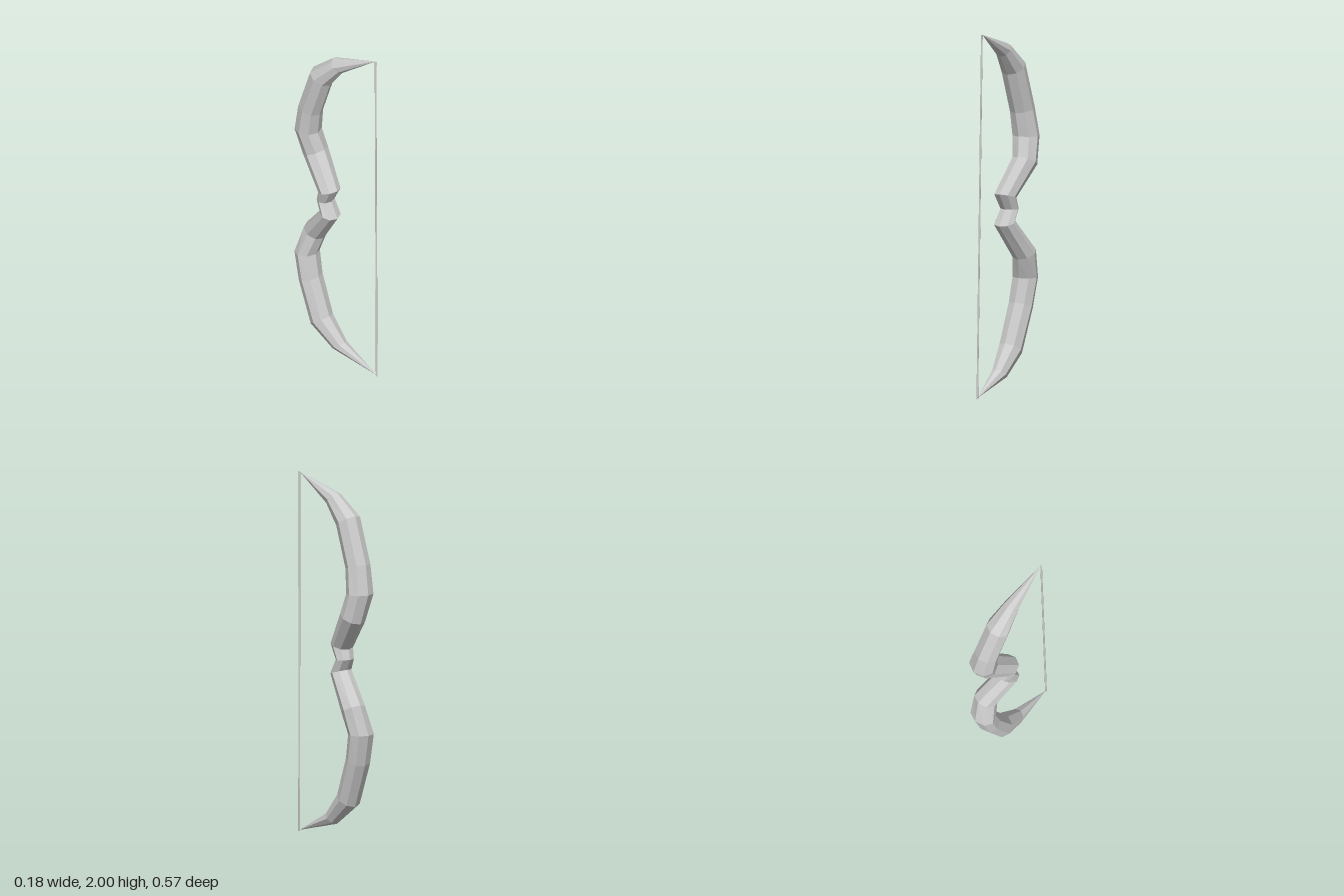
import * as THREE from 'three';

// Limb stations from top tip to bottom tip:
// [back z, back y, belly z, belly y, min x, max x]
const STATIONS = [
  [0.255, 2.0, 0.255, 2.0, 0.03, 0.03],
  [-0.025, 1.92, 0.04, 1.85, -0.045, 0.045],
  [-0.163, 1.81, -0.043, 1.74, -0.08, 0.058],
  [-0.252, 1.555, -0.12, 1.52, -0.08, 0.06],
  [-0.282, 1.39, -0.14, 1.39, -0.08, 0.075],
  [-0.238, 1.225, -0.108, 1.285, -0.055, 0.087],
  [-0.098, 1.06, 0.02, 1.09, -0.083, 0.042],
  [-0.114, 1.005, -0.028, 1.002, -0.07, 0.04],
  [-0.083, 0.945, 0.02, 0.913, -0.083, 0.042],
  [-0.232, 0.775, -0.113, 0.718, -0.055, 0.08],
  [-0.276, 0.61, -0.15, 0.61, -0.085, 0.067],
  [-0.238, 0.435, -0.122, 0.48, -0.088, 0.056],
  [-0.147, 0.193, -0.038, 0.265, -0.09, 0.045],
  [-0.008, 0.08, 0.066, 0.135, -0.055, 0.03],
  [0.278, 0.005, 0.278, 0.005, 0.013, 0.013],
];
const SIDES = 8;

// Eight-sided ring spanning the back and belly points of a station
function ring([bz, by, fz, fy, x0, x1]) {
  const points = [];
  for (let j = 0; j < SIDES; j++) {
    const a = (j / SIDES) * Math.PI * 2;
    const c = Math.cos(a) / 2, s = Math.sin(a) / 2;
    points.push(new THREE.Vector3(
      (x0 + x1) / 2 + s * (x1 - x0),
      (by + fy) / 2 + c * (by - fy),
      (bz + fz) / 2 + c * (bz - fz)));
  }
  return points;
}

// Skin neighbouring rings; the tips collapse to a point
function loft(rings) {
  const pos = [];
  const tri = (...v) => v.forEach((p) => pos.push(p.x, p.y, p.z));
  const last = rings.length - 2;
  for (let i = 0; i <= last; i++) {
    for (let j = 0; j < SIDES; j++) {
      const k = (j + 1) % SIDES;
      if (i > 0) tri(rings[i][j], rings[i][k], rings[i + 1][j]);
      if (i < last) tri(rings[i][k], rings[i + 1][k], rings[i + 1][j]);
    }
  }
  const geometry = new THREE.BufferGeometry();
  geometry.setAttribute('position', new THREE.Float32BufferAttribute(pos, 3));
  geometry.computeVertexNormals();
  return geometry;
}

export function createModel() {
  const group = new THREE.Group();
  group.name = 'bow';
  const material = new THREE.MeshStandardMaterial({ color: 0xcccccc, flatShading: true });

  // Curved limbs and grip in one continuous piece
  const limbs = new THREE.Mesh(loft(STATIONS.map(ring)), material);
  limbs.name = 'limbsAndGrip';
  group.add(limbs);

  // Straight string from tip to tip
  const top = new THREE.Vector3(0.028, 2.0, 0.257);
  const bottom = new THREE.Vector3(0.013, 0.0, 0.279);
  const span = top.clone().sub(bottom);
  const string = new THREE.Mesh(new THREE.CylinderGeometry(0.005, 0.005, span.length(), 8), material);
  string.name = 'bowString';
  string.position.copy(top).add(bottom).multiplyScalar(0.5);
  string.quaternion.setFromUnitVectors(new THREE.Vector3(0, 1, 0), span.normalize());
  group.add(string);

  return group;
}
